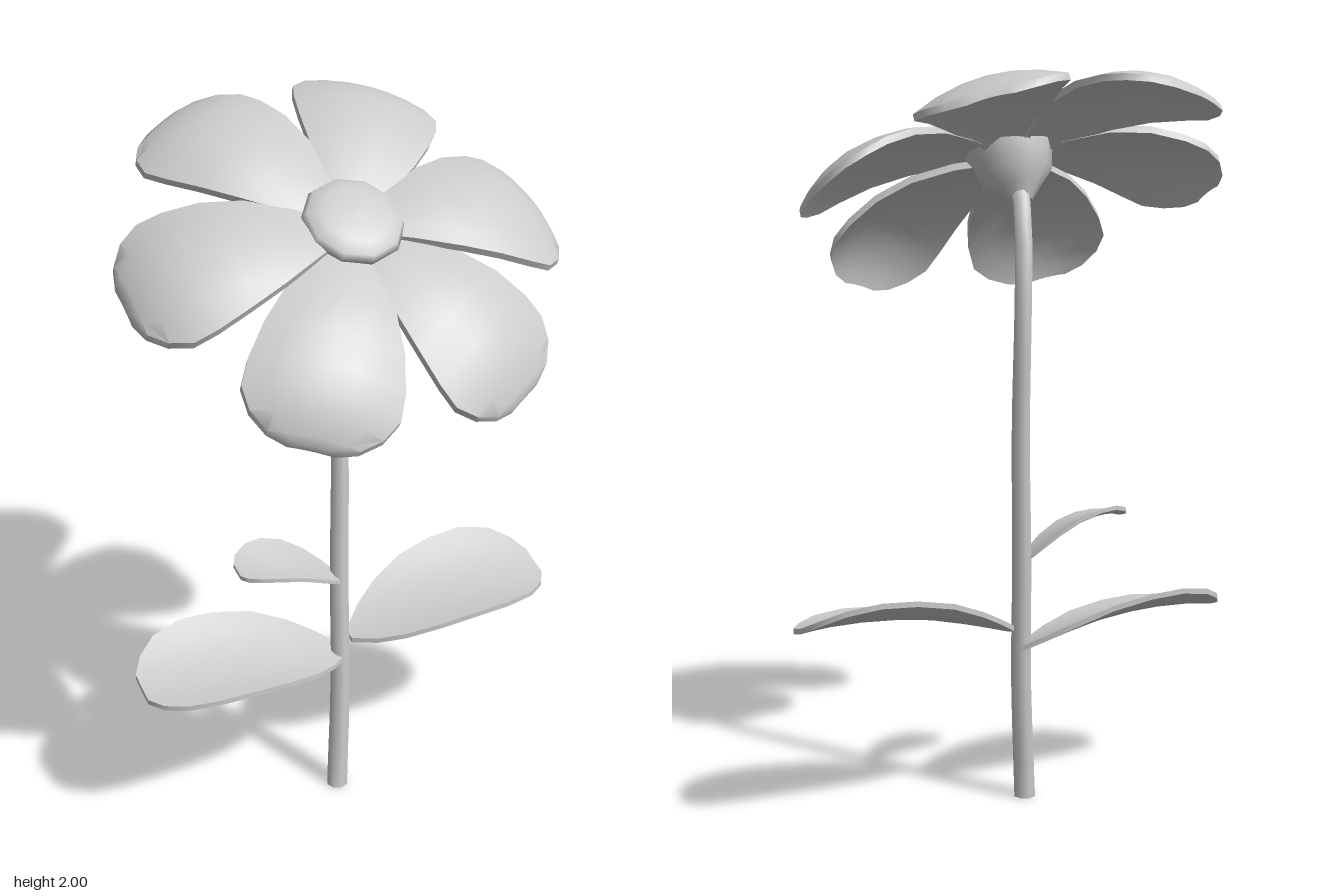
import * as THREE from 'three';
import { toCreasedNormals } from 'three/addons/utils/BufferGeometryUtils.js';

const material = new THREE.MeshStandardMaterial({ color: 0xcccccc });

function addMesh(parent, name, geometry) {
  const mesh = new THREE.Mesh(geometry, material);
  mesh.name = name;
  parent.add(mesh);
  return mesh;
}

// Thin closed blade growing along +x. Rows are [x, y, width factor];
// tilt and curl bend each cross-section up or down.
function bladeGeometry(rows, halfWidth, tilt, curl, thickness) {
  const n = 6, m = rows.length - 1, count = rows.length * (n + 1);
  const positions = [], index = [];
  for (const drop of [0, thickness]) {
    for (const [x, y, w] of rows) {
      for (let j = 0; j <= n; j++) {
        const s = (j / n * 2 - 1) * w;
        positions.push(x, y + tilt * s + curl * s * s - drop, s * halfWidth);
      }
    }
  }
  const at = (i, j) => i * (n + 1) + j;
  const quad = (a, b, c, d) => index.push(a, b, c, a, c, d);
  for (let i = 0; i < m; i++) {
    for (let j = 0; j < n; j++) {
      const q = [at(i, j), at(i, j + 1), at(i + 1, j + 1), at(i + 1, j)];
      quad(...q);
      quad(...q.map((k) => k + count).reverse());
    }
  }
  // Rim joining the upper and lower skins
  const rim = [];
  for (let j = 0; j < n; j++) rim.push(at(0, j));
  for (let i = 0; i < m; i++) rim.push(at(i, n));
  for (let j = n; j > 0; j--) rim.push(at(m, j));
  for (let i = m; i > 0; i--) rim.push(at(i, 0));
  rim.forEach((a, k) => {
    const b = rim[(k + 1) % rim.length];
    quad(a + count, b + count, b, a);
  });
  const geometry = new THREE.BufferGeometry();
  geometry.setAttribute('position', new THREE.Float32BufferAttribute(positions, 3));
  geometry.setIndex(index);
  return toCreasedNormals(geometry, 0.8);
}

// Tapered eight-sided stem along a bent path, flat at the ground
function stemGeometry(path, segments, sides) {
  const geometry = new THREE.TubeGeometry(path, segments, 0.031, sides);
  const pos = geometry.attributes.position;
  const p = new THREE.Vector3();
  for (let i = 0; i <= segments; i++) {
    const centre = path.getPointAt(i / segments);
    const taper = 1 - 0.22 * Math.min(1, i / segments * 1.3);
    for (let j = 0; j <= sides; j++) {
      const k = i * (sides + 1) + j;
      p.fromBufferAttribute(pos, k).sub(centre).multiplyScalar(taper).add(centre);
      pos.setXYZ(k, p.x, i === 0 ? 0 : p.y, p.z);
    }
  }
  geometry.computeVertexNormals();
  return geometry;
}

export function createModel() {
  const flower = new THREE.Group();
  flower.name = 'flower';

  // Stem
  const path = new THREE.CatmullRomCurve3([
    [-0.05, 0, 0.015], [-0.026, 0.36, -0.01], [-0.015, 0.7, -0.037],
    [0, 1.05, -0.06], [0.004, 1.38, -0.082], [-0.01, 1.6, -0.055],
    [-0.022, 1.69, -0.012], [-0.03, 1.75, 0.035],
  ].map((v) => new THREE.Vector3(...v)));
  addMesh(flower, 'stem', stemGeometry(path, 16, 8));
  const cap = addMesh(flower, 'stemBase', new THREE.CircleGeometry(0.031, 8));
  cap.rotation.x = Math.PI / 2;
  cap.position.set(-0.05, 0, 0.015);

  // Flower head, tipped forward
  const head = new THREE.Group();
  head.name = 'flowerHead';
  head.position.set(-0.03, 1.82, 0.085);
  head.rotation.x = THREE.MathUtils.degToRad(30.5);
  flower.add(head);

  // Centre button with the cup beneath it
  const button = [[0.028, -0.18], [0.058, -0.145], [0.1, -0.1], [0.112, -0.05],
    [0.132, -0.012], [0.122, 0.006], [0.088, 0.02], [0.045, 0.027], [0, 0.029]];
  addMesh(head, 'centre', new THREE.LatheGeometry(
    button.map(([r, y]) => new THREE.Vector2(r, y)), 10));

  // Ring of six petals; the two side petals are rolled with the front edge up
  const petal = bladeGeometry([
    [0.03, -0.04, 0.14], [0.13, -0.016, 0.43], [0.24, 0, 0.71],
    [0.34, -0.004, 0.89], [0.43, -0.028, 0.99], [0.49, -0.056, 1],
    [0.54, -0.092, 0.84], [0.574, -0.128, 0.58], [0.588, -0.148, 0.3],
  ], 0.195, 0, -0.05, 0.02);
  for (let i = 0; i < 6; i++) {
    const mesh = addMesh(head, 'petal' + (i + 1), petal);
    mesh.rotation.y = i * Math.PI / 3;
    if (i % 3 === 0) {
      mesh.rotation.x = -0.1;
      mesh.position.y = 0.01;
    }
  }

  // Two large leaves, back edges raised
  const leafRows = [
    [0, 0, 0.12], [0.06, 0.018, 0.44], [0.13, 0.037, 0.69], [0.23, 0.06, 0.9],
    [0.34, 0.074, 0.99], [0.44, 0.079, 1], [0.53, 0.077, 0.86],
    [0.585, 0.072, 0.6], [0.615, 0.068, 0.3],
  ];
  const leftLeaf = addMesh(flower, 'leftLeaf', bladeGeometry(leafRows, 0.15, -0.043, 0.03, 0.015));
  leftLeaf.position.set(0.003, 0.505, -0.01);
  const rightLeaf = addMesh(flower, 'rightLeaf', bladeGeometry(leafRows, 0.147, 0.043, 0.03, 0.015));
  rightLeaf.position.set(-0.01, 0.447, -0.022);
  rightLeaf.rotation.y = Math.PI;

  // Small upper leaf
  const smallLeaf = addMesh(flower, 'smallLeaf', bladeGeometry([
    [0, 0, 0.15], [0.04, 0.032, 0.52], [0.09, 0.066, 0.8], [0.15, 0.097, 0.97],
    [0.21, 0.115, 1], [0.26, 0.122, 0.88], [0.3, 0.12, 0.6], [0.315, 0.116, 0.3],
  ], 0.08, 0.02, 0.01, 0.012));
  smallLeaf.position.set(-0.012, 0.69, -0.032);
  smallLeaf.rotation.y = Math.PI;

  return flower;
}
